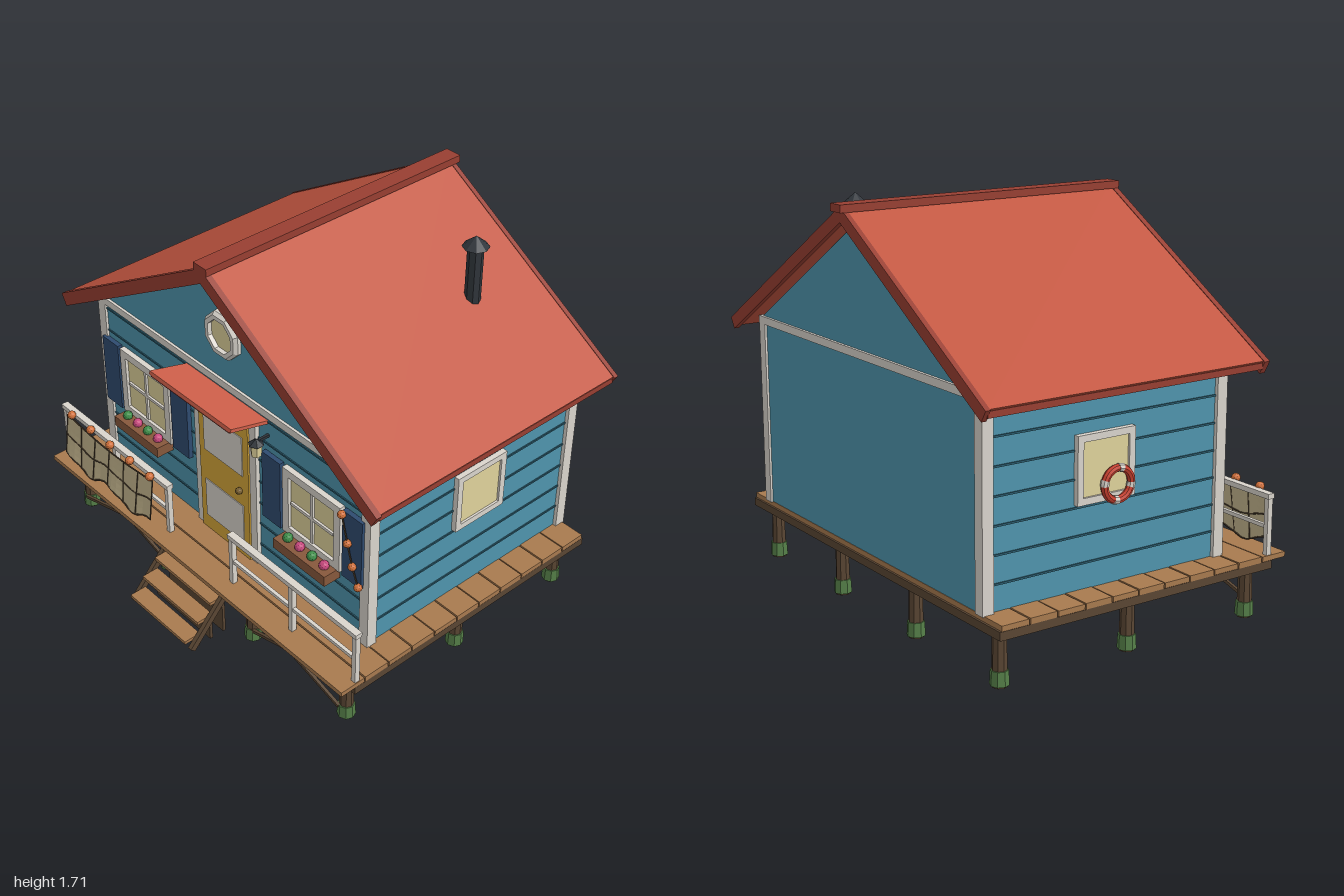
import * as THREE from 'three';

const C = {
  wall: 0x4f95ad, groove: 0x2b5c6e, white: 0xdad5cd, roof: 0xc25640, trimRed: 0x983f32, awning: 0xd0604a,
  deck: 0xa87a4f, wood: 0x5a4633, dark: 0x332820, door: 0xd6a63a, glass: 0xe0d39c, shutter: 0x2f4b70,
  planter: 0x87583c, net: 0xc6b78f, rope: 0x4a3c2c, iron: 0x30353b, moss: 0x557f48, orange: 0xd2713a,
  pink: 0xc9487e, green: 0x3f8f4a, red: 0xc9402f, brass: 0x7a6030,
};
const mats = {};
const mat = (c) => (mats[c] ??= new THREE.MeshStandardMaterial({ color: c, flatShading: true, side: THREE.DoubleSide }));

function add(parent, name, geo, color, x = 0, y = 0, z = 0) {
  const m = new THREE.Mesh(geo, mat(color));
  m.name = name;
  m.position.set(x, y, z);
  parent.add(m);
  return m;
}
const box = (p, name, color, w, h, d, x, y, z) => add(p, name, new THREE.BoxGeometry(w, h, d), color, x, y, z);
const ball = (p, name, color, r, x, y, z) => add(p, name, new THREE.IcosahedronGeometry(r, 1), color, x, y, z);
function group(parent, name) {
  const g = new THREE.Group();
  g.name = name;
  parent.add(g);
  return g;
}
// Square bar between two points
function bar(p, name, color, a, b, w, h) {
  const A = new THREE.Vector3(...a), B = new THREE.Vector3(...b);
  const m = box(p, name, color, w, h, A.distanceTo(B), 0, 0, 0);
  m.position.copy(A).lerp(B, 0.5);
  m.lookAt(B);
  return m;
}
// Outline in x,y extruded from z0 to z1
function prism(p, name, color, pts, z0, z1) {
  const s = new THREE.Shape(pts.map((q) => new THREE.Vector2(...q)));
  return add(p, name, new THREE.ExtrudeGeometry(s, { depth: z1 - z0, bevelEnabled: false }), color, 0, 0, z0);
}
// Rectangular frame with an opening, facing +z
function frame(p, name, w, h, b, depth) {
  const s = new THREE.Shape([[-w, -h], [w, -h], [w, h], [-w, h]].map(([x, y]) => new THREE.Vector2(x / 2, y / 2)));
  const iw = w / 2 - b, ih = h / 2 - b;
  s.holes.push(new THREE.Path([[-iw, -ih], [-iw, ih], [iw, ih], [iw, -ih]].map((q) => new THREE.Vector2(...q))));
  return add(p, name, new THREE.ExtrudeGeometry(s, { depth, bevelEnabled: false }), C.white);
}

function buildPlatform(root) {
  const g = group(root, 'platform');
  box(g, 'deckFrame', C.wood, 1.96, 0.035, 1.33, 0, 0.2425, -0.075);
  box(g, 'deckUnderside', C.dark, 1.92, 0.01, 1.29, 0, 0.222, -0.075);
  box(g, 'frontFascia', C.wood, 1.96, 0.035, 0.03, 0, 0.2425, 0.585);
  const n = 11, step = 1.41 / n;
  for (let i = 0; i < n; i++)
    box(g, 'deckBoard', C.deck, 1.96, 0.022 + (i % 2) * 0.003, step - 0.006, 0, 0.272, -0.735 + step * (i + 0.5));
  // Piles with mossy feet
  for (const x of [-0.88, -0.295, 0.295, 0.88]) for (const z of [0.55, -0.07, -0.675]) {
    add(g, 'pile', new THREE.CylinderGeometry(0.028, 0.032, 0.225, 8), C.wood, x, 0.1125, z);
    add(g, 'mossyFoot', new THREE.CylinderGeometry(0.036, 0.039, 0.06, 8), C.moss, x, 0.037, z);
  }
  for (const s of [-1, 1]) for (const f of [0, 1])
    bar(g, 'crossBrace', C.wood, [s * 0.87, f ? 0.06 : 0.22, 0.57 + f * 0.012], [s * 0.305, f ? 0.22 : 0.06, 0.57 + f * 0.012], 0.014, 0.014);
  // Stairs
  const st = group(root, 'stairs');
  for (let i = 0; i < 3; i++) {
    const y = 0.2 - i * 0.067, z = 0.655 + i * 0.07;
    box(st, 'tread', C.deck, 0.38, 0.016, 0.08, 0, y, z);
    box(st, 'riser', C.wood, 0.37, y, 0.014, 0, y / 2, z - 0.034);
  }
  for (const s of [-1, 1]) bar(st, 'stringer', C.wood, [s * 0.2, 0.265, 0.585], [s * 0.2, 0.022, 0.81], 0.02, 0.03);
  // Railings
  for (const s of [-1, 1]) {
    const r = group(root, 'railing');
    for (const x of [0.215, 0.59, 0.965]) box(r, 'railPost', C.white, 0.022, 0.26, 0.024, s * x, 0.41, 0.585);
    box(r, 'topRail', C.white, 0.78, 0.022, 0.032, s * 0.59, 0.533, 0.585);
    box(r, 'midRail', C.white, 0.76, 0.016, 0.016, s * 0.59, 0.402, 0.585);
  }
}

function buildHouse(root) {
  const g = group(root, 'house');
  prism(g, 'walls', C.wall, [[-0.85, 0.28], [0.85, 0.28], [0.85, 1.123], [0, 1.64], [-0.85, 1.123]], -0.73, 0.42);
  // Siding joints on the front and sides
  for (let i = 0; i < 7; i++) {
    const y = 0.39 + i * 0.113;
    box(g, 'frontSidingJoint', C.groove, 1.66, 0.008, 0.008, 0, y, 0.421);
    for (const s of [-1, 1]) box(g, 'sideSidingJoint', C.groove, 0.008, 0.008, 1.1, s * 0.851, y, -0.155);
  }
  for (const s of [-1, 1]) for (const z of [0.407, -0.715])
    box(g, 'cornerTrim', C.white, 0.05, 0.83, 0.05, s * 0.842, 0.695, z);
  for (const z of [0.42, -0.73]) box(g, 'gableTrim', C.white, 1.73, 0.034, 0.024, 0, 1.107, z);
  // Octagonal gable window
  const o = group(g, 'gableWindow');
  o.position.set(0, 1.35, 0.42);
  const profile = [[0.075, 0], [0.075, 0.03], [0.095, 0.03], [0.108, 0.015], [0.108, 0]].map((q) => new THREE.Vector2(...q));
  const ring = add(o, 'windowRing', new THREE.LatheGeometry(profile, 8, Math.PI / 8), C.white);
  const pane = add(o, 'windowPane', new THREE.CylinderGeometry(0.078, 0.078, 0.012, 8, 1, false, Math.PI / 8), C.glass, 0, 0, 0.004);
  ring.rotation.x = pane.rotation.x = Math.PI / 2;
}

function buildRoof(root) {
  const g = group(root, 'roof');
  // Chevron bands following both slopes
  const chevron = (name, color, top, eave, t, z0, z1) => {
    const e = top - eave * 0.6;
    prism(g, name, color, [[0, top], [eave, e], [eave - 0.028, e - t + 0.016], [0, top - t],
      [-eave + 0.028, e - t + 0.016], [-eave, e]], z0, z1);
  };
  chevron('roofSlopes', C.roof, 1.697, 0.99, 0.05, -0.8, 0.51);
  chevron('frontRake', C.trimRed, 1.7, 0.998, 0.068, 0.503, 0.53);
  chevron('backRake', C.trimRed, 1.7, 0.998, 0.062, -0.812, -0.79);
  for (const s of [-1, 1]) box(g, 'eaveBoard', C.trimRed, 0.016, 0.026, 1.3, s * 0.978, 1.082, -0.145);
  box(g, 'ridgeCap', C.trimRed, 0.078, 0.032, 1.36, 0, 1.696, -0.15);
  // Stovepipe
  const ch = group(root, 'stovepipe');
  add(ch, 'pipe', new THREE.CylinderGeometry(0.034, 0.034, 0.29, 8), C.iron, 0.5, 1.49, -0.455);
  add(ch, 'pipeCap', new THREE.ConeGeometry(0.057, 0.048, 8), C.iron, 0.5, 1.655, -0.455);
}

function buildDoor(root) {
  const g = group(root, 'door');
  box(g, 'doorFrame', C.white, 0.4, 0.77, 0.024, 0, 0.668, 0.428);
  box(g, 'doorLeaf', C.door, 0.32, 0.715, 0.024, 0, 0.641, 0.436);
  for (const y of [0.46, 0.82]) box(g, 'doorPanel', C.white, 0.25, 0.2, 0.012, 0, y, 0.446);
  ball(g, 'doorKnob', C.brass, 0.016, 0.11, 0.64, 0.46);
  bar(g, 'awning', C.awning, [0, 1.064, 0.42], [0, 1.115, 0.61], 0.52, 0.016);
  bar(g, 'awningSoffit', 0x6e2c24, [0, 1.054, 0.424], [0, 1.104, 0.61], 0.5, 0.008);
  // Lantern
  const l = group(root, 'lantern');
  l.position.set(0.26, 0, 0.485);
  box(l, 'lanternBracket', C.iron, 0.012, 0.012, 0.08, 0, 1.0, -0.03);
  add(l, 'lanternGlass', new THREE.CylinderGeometry(0.027, 0.022, 0.056, 6), C.glass, 0, 0.962, 0);
  add(l, 'lanternCap', new THREE.ConeGeometry(0.034, 0.026, 6), C.iron, 0, 1.003, 0);
}

function buildWindows(root) {
  for (const s of [-1, 1]) {
    const g = group(root, 'frontWindow');
    g.position.set(s * 0.54, 0.755, 0.42);
    frame(g, 'windowFrame', 0.34, 0.33, 0.036, 0.025);
    box(g, 'windowPane', C.glass, 0.3, 0.29, 0.014, 0, 0, 0.004);
    box(g, 'muntin', C.white, 0.014, 0.25, 0.014, 0, 0, 0.014);
    box(g, 'muntin', C.white, 0.25, 0.014, 0.014, 0, 0, 0.014);
    for (const k of [-1, 1]) box(g, 'shutter', C.shutter, 0.112, 0.335, 0.022, k * 0.24, 0, 0.014);
    // Flower box
    box(g, 'flowerBox', C.planter, 0.31, 0.05, 0.085, 0, -0.187, 0.047);
    for (let i = 0; i < 4; i++)
      ball(g, i % 2 ? 'flower' : 'leaves', i % 2 ? C.pink : C.green, 0.022, -0.109 + i * 0.0727, -0.152, 0.05);
    // Side window, same part turned outwards
    const w = group(root, 'sideWindow');
    w.position.set(s * 0.85, 0.765, -0.175);
    w.rotation.y = s * Math.PI / 2;
    frame(w, 'windowFrame', 0.275, 0.275, 0.028, 0.024);
    box(w, 'windowPane', C.glass, 0.24, 0.24, 0.02, 0, 0, 0.004);
  }
}

function buildDecorations(root) {
  // Draped net: u runs along the railing, v from bottom to top
  const P = (u, v) => {
    const top = 0.53 - 0.025 * Math.sin(Math.PI * u);
    const low = 0.308 + 0.022 * Math.cos(4 * Math.PI * (u - 0.5));
    return new THREE.Vector3(-0.915 + 0.63 * u, low + (top - low) * v,
      0.64 - 0.025 * v + 0.007 * Math.sin(u * Math.PI * 8) * (1 - v));
  };
  const g = group(root, 'fishingNet');
  const cloth = new THREE.PlaneGeometry(1, 1, 20, 6);
  const pos = cloth.attributes.position;
  for (let i = 0; i < pos.count; i++) {
    const p = P(pos.getX(i) + 0.5, pos.getY(i) + 0.5);
    pos.setXYZ(i, p.x, p.y, p.z);
  }
  cloth.computeVertexNormals();
  add(g, 'netCloth', cloth, C.net);
  const rope = (parent, pts, r) => add(parent, 'rope', new THREE.TubeGeometry(new THREE.CatmullRomCurve3(pts), 20, r, 5), C.rope);
  const ts = Array.from({ length: 13 }, (_, i) => i / 12);
  for (const v of [0, 0.5, 1]) rope(g, ts.map((t) => P(t, v)), 0.004);
  for (let i = 0; i <= 6; i++) rope(g, ts.map((t) => P(i / 6, t)), 0.003);
  for (let i = 0; i < 5; i++) ball(g, 'float', C.orange, 0.02, -0.88 + i * 0.144, 0.546, 0.615);
  // String of floats on a shutter
  const f = group(root, 'floatString');
  const pts = [[0.73, 0.91], [0.765, 0.785], [0.795, 0.685], [0.83, 0.6]].map(([x, y]) => new THREE.Vector3(x, y, 0.455));
  rope(f, pts, 0.004);
  for (const p of pts) ball(f, 'float', C.orange, 0.018, p.x, p.y, p.z);
  // Life ring with four pale bands
  const r = group(root, 'lifeRing');
  r.position.set(-0.885, 0.69, -0.13);
  r.rotation.y = -Math.PI / 2;
  for (let i = 0; i < 8; i++) {
    const band = i % 2 === 1, arc = band ? 0.35 : Math.PI / 2 - 0.35;
    const m = add(r, band ? 'ringBand' : 'ringBody', new THREE.TorusGeometry(0.064, band ? 0.0175 : 0.016, 8, 5, arc), band ? C.white : C.red);
    m.rotation.z = Math.floor(i / 2) * Math.PI / 2 + (band ? Math.PI / 2 - 0.35 : 0);
  }
}

export function createModel() {
  const root = new THREE.Group();
  root.name = 'stiltCabin';
  for (const build of [buildPlatform, buildHouse, buildRoof, buildDoor, buildWindows, buildDecorations]) build(root);
  return root;
}
